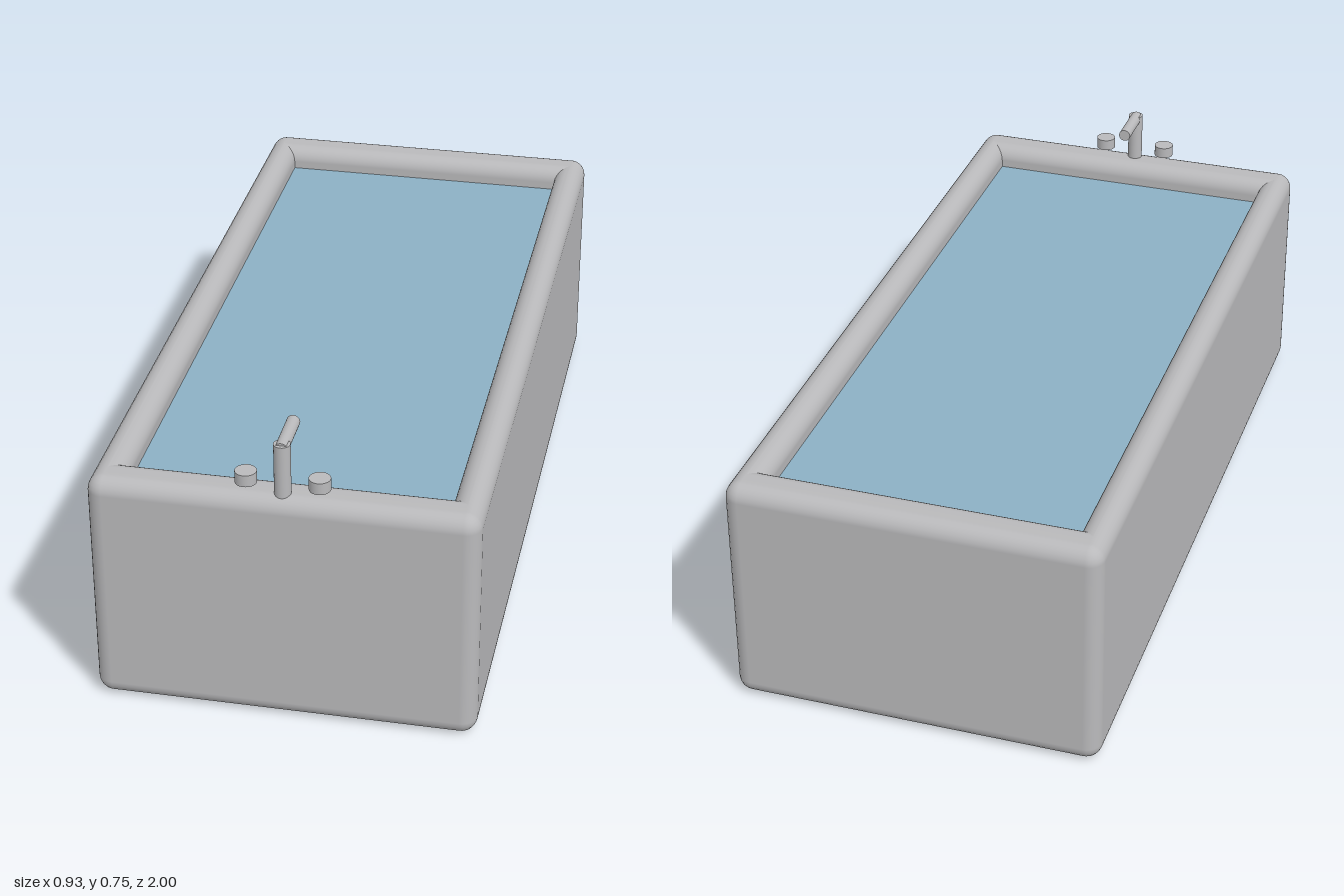
import * as THREE from 'three';

const HX = 0.465, HZ = 1, H = 0.61, R = 0.04;   // outer half sizes, height, edge rounding
const IX = 0.385, IZ = 0.89, FLOOR = 0.1;       // basin opening and floor
const WATER = 0.55;

function makeGeometry(pos, idx, normals) {
  const g = new THREE.BufferGeometry();
  g.setAttribute('position', new THREE.Float32BufferAttribute(pos, 3));
  g.setIndex(idx);
  if (normals) g.setAttribute('normal', new THREE.Float32BufferAttribute(normals, 3));
  else g.computeVertexNormals();
  return g;
}

// Outer shell: a rounded box lofted from rounded-rectangle rings, open at the top
function shellGeometry() {
  const S = 6, pos = [], nor = [], idx = [], rings = [];
  for (let i = 0; i <= S; i++) rings.push([R, -Math.PI / 2 * (1 - i / S)]);
  for (let i = 0; i <= S; i++) rings.push([H - R, Math.PI / 2 * i / S]);
  const corners = [[1, 1], [-1, 1], [-1, -1], [1, -1]];
  const n = 4 * (S + 1);
  for (const [cy, tilt] of rings) {
    corners.forEach(([sx, sz], c) => {
      for (let k = 0; k <= S; k++) {
        const a = (c + k / S) * Math.PI / 2;
        const nx = Math.cos(a) * Math.cos(tilt), ny = Math.sin(tilt), nz = Math.sin(a) * Math.cos(tilt);
        pos.push(sx * (HX - R) + R * nx, cy + R * ny, sz * (HZ - R) + R * nz);
        nor.push(nx, ny, nz);
      }
    });
  }
  for (let r = 0; r < rings.length - 1; r++) {
    for (let k = 0; k < n; k++) {
      const a = r * n + k, b = r * n + (k + 1) % n;
      idx.push(a, a + n, b, b, a + n, b + n);
    }
  }
  // underside
  for (let k = 1; k < n - 1; k++) idx.push(0, k, k + 1);
  return makeGeometry(pos, idx, nor);
}

// One side of the rim and basin wall, mitred at its ends; side 0..3 goes round the basin
function rimSideGeometry(side) {
  const S = 8, profile = [[HX - R, HZ - R, H]];
  for (let i = 0; i <= S; i++) {
    const a = Math.PI / 2 * i / S;
    const inset = R * (1 - Math.sin(a));
    profile.push([IX + inset, IZ + inset, H - R * (1 - Math.cos(a))]);
  }
  profile.push([IX, IZ, FLOOR]);
  const corners = [[1, 1], [-1, 1], [-1, -1], [1, -1]];
  const p = corners[side], q = corners[(side + 1) % 4];
  const pos = [], idx = [];
  profile.forEach(([x, z, y], i) => {
    pos.push(p[0] * x, y, p[1] * z, q[0] * x, y, q[1] * z);
    if (i) {
      const a = 2 * (i - 1);
      idx.push(a, a + 2, a + 1, a + 1, a + 2, a + 3);
    }
  });
  return makeGeometry(pos, idx);
}

export function createModel() {
  const group = new THREE.Group();
  const grey = new THREE.MeshStandardMaterial({ color: 0xb9b9bb });
  grey.name = 'grey';
  const blue = new THREE.MeshStandardMaterial({ color: 0x8cb0c4 });
  blue.name = 'waterBlue';

  const add = (name, geometry, material, x = 0, y = 0, z = 0) => {
    const mesh = new THREE.Mesh(geometry, material);
    mesh.name = name;
    mesh.position.set(x, y, z);
    group.add(mesh);
    return mesh;
  };

  // Tub
  add('tubShell', shellGeometry(), grey);
  for (let s = 0; s < 4; s++) add('rimSide' + (s + 1), rimSideGeometry(s), grey);
  const flat = () => new THREE.PlaneGeometry(2 * IX, 2 * IZ).rotateX(-Math.PI / 2);
  add('basinFloor', flat(), grey, 0, FLOOR);
  add('water', flat(), blue, 0, WATER);

  // Tap: post, spout reaching over the water, two round handles
  add('tapPost', new THREE.CylinderGeometry(0.02, 0.02, 0.15, 32), grey, 0, 0.665, 0.96);
  const spout = add('tapSpout', new THREE.CylinderGeometry(0.016, 0.016, 0.13, 32), grey, 0, 0.73, 0.905);
  spout.rotation.x = Math.PI / 2;
  for (const s of [-1, 1]) {
    const name = s > 0 ? 'leftHandle' : 'rightHandle';
    add(name, new THREE.CylinderGeometry(0.026, 0.026, 0.03, 32), grey, s * 0.087, 0.643, 0.958);
  }
  return group;
}
